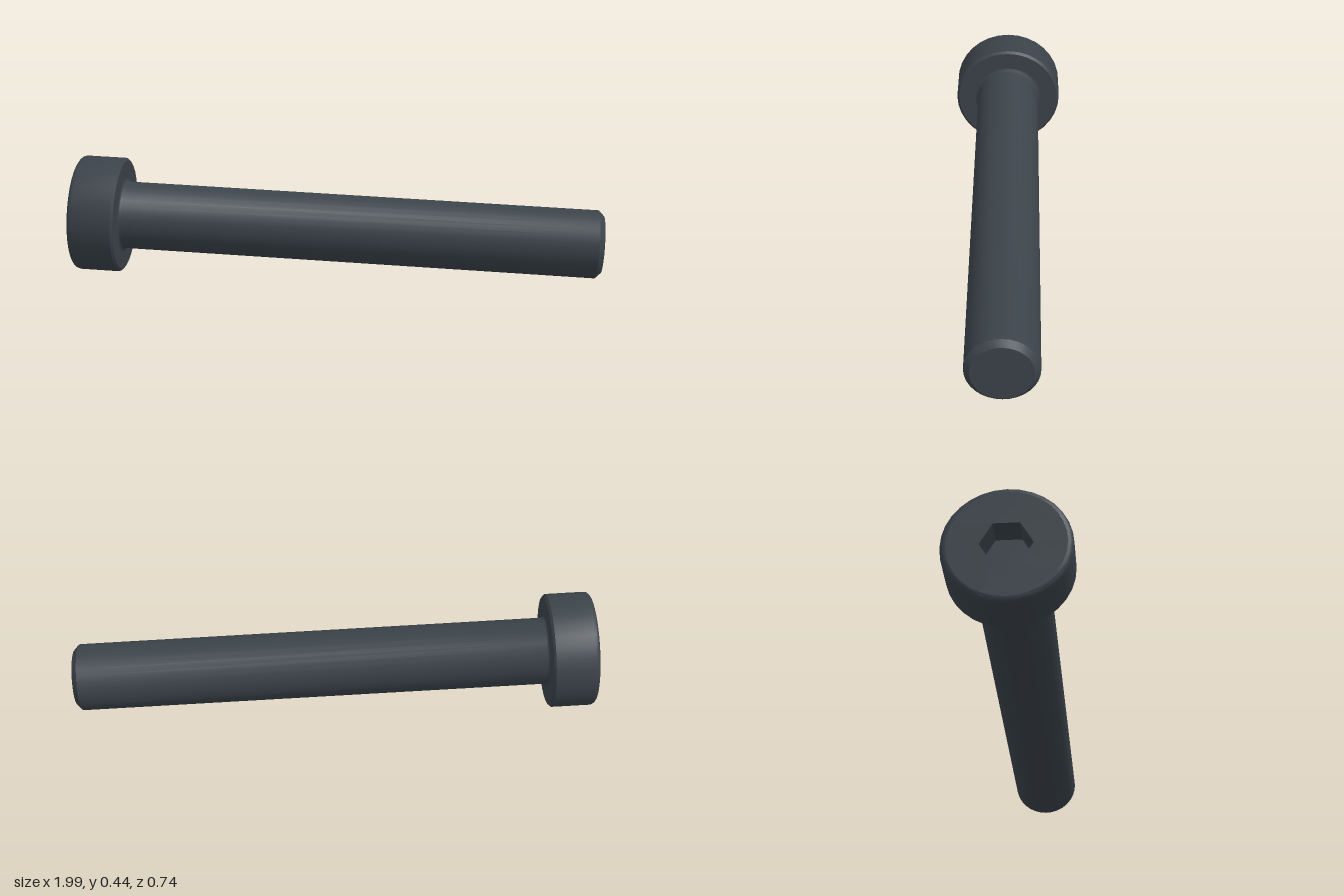
import * as THREE from 'three';
import { toCreasedNormals } from 'three/addons/utils/BufferGeometryUtils.js';

const SEGMENTS = 32;
const LENGTH = 1.975;
const HEAD = { radius: 0.217, height: 0.175, round: 0.02, chamfer: 0.009 };
const SHANK = { radius: 0.127, chamfer: 0.02, fillet: 0.012 };
const SOCKET = { radius: 0.088, depth: 0.1 };

// Quarter arc points from angle a to b around (cx, cy)
function arc(cx, cy, r, a, b, steps = 4) {
  return Array.from({ length: steps + 1 }, (_, i) => {
    const t = a + ((b - a) * i) / steps;
    return [cx + r * Math.cos(t), cy + r * Math.sin(t)];
  });
}

// Revolved part with sharp edges kept
function turned(points, segments = SEGMENTS, start = 0) {
  const profile = points.map(([r, y]) => new THREE.Vector2(r, y));
  return toCreasedNormals(new THREE.LatheGeometry(profile, segments, start), 0.6);
}

function polygon(radius, sides) {
  return Array.from({ length: sides }, (_, i) => {
    const a = (i / sides) * Math.PI * 2;
    return new THREE.Vector2(radius * Math.cos(a), radius * Math.sin(a));
  });
}

export function createModel() {
  const steel = new THREE.MeshStandardMaterial({ color: 0x3b434a });
  steel.name = 'dark steel';

  const model = new THREE.Group();
  model.name = 'socketScrew';
  const add = (name, geometry) => {
    const mesh = new THREE.Mesh(geometry, steel);
    mesh.name = name;
    model.add(mesh);
  };

  // Head: rounded outer rim, small chamfer below, flat bearing face
  const { radius: R, height: H, round, chamfer } = HEAD;
  add('head', turned([
    ...arc(R - round, round, round, -Math.PI / 2, 0),
    [R, H - chamfer],
    [R - chamfer, H],
    [SHANK.radius, H],
  ]));

  // End face of the head with a hexagonal opening
  const face = new THREE.Shape(polygon(R - round, SEGMENTS));
  face.holes.push(new THREE.Path(polygon(SOCKET.radius, 6).reverse()));
  add('headFace', new THREE.ShapeGeometry(face).rotateX(Math.PI / 2));

  // Hexagonal socket: floor and walls facing inward
  add('hexSocket', turned([
    [0, SOCKET.depth],
    [SOCKET.radius, SOCKET.depth],
    [SOCKET.radius, 0],
  ], 6, Math.PI / 2));

  // Shank: fillet under the head, chamfered flat tip
  const { radius: r, chamfer: c, fillet: f } = SHANK;
  add('shank', turned([
    ...arc(r + f, H + f, f, -Math.PI / 2, -Math.PI, 3),
    [r, LENGTH - c],
    [r - c, LENGTH],
    [0, LENGTH],
  ]));

  // Lay the screw on the ground, resting on head and tip
  const start = new THREE.Vector3(-0.955, 0.227, -0.16);
  const axis = new THREE.Vector3(0.975, 0.129, 0.25).sub(start).normalize();
  const side = new THREE.Vector3(0, 1, 0).cross(axis).normalize();
  const third = side.clone().cross(axis);
  model.quaternion.setFromRotationMatrix(new THREE.Matrix4().makeBasis(side, axis, third));
  model.position.copy(start);

  const root = new THREE.Group();
  root.name = 'screw';
  root.add(model);
  return root;
}
